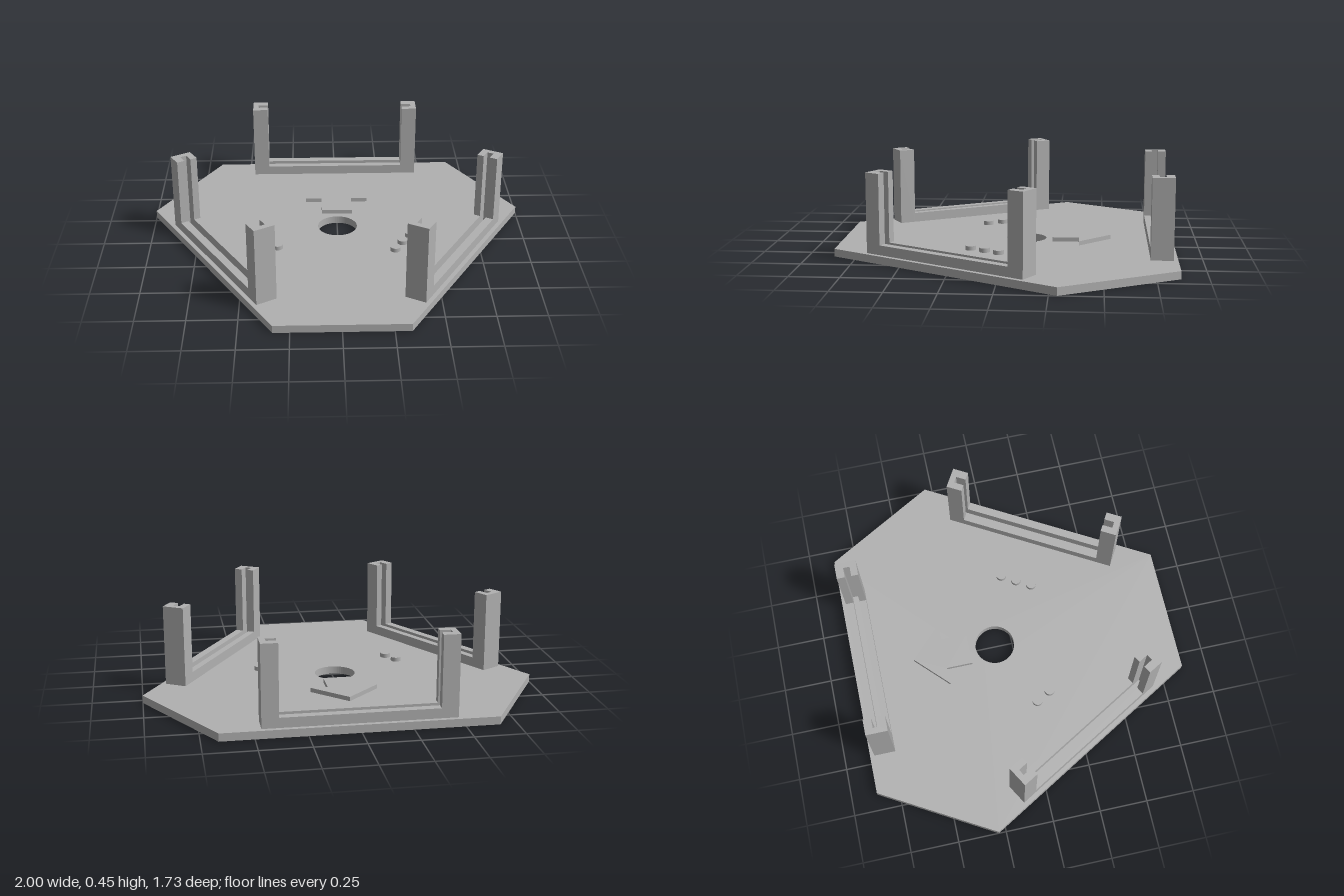
import * as THREE from 'three';

const grey = new THREE.MeshStandardMaterial({ color: 0xb0b0b0 });
grey.name = 'grey';

const BASE_TOP = 0.04;
const CENTRE_Z = -0.096;

// Shape from plan points [x, z]; extruded upwards from y0 to y1
function planShape(points) {
  return new THREE.Shape(points.map(([x, z]) => new THREE.Vector2(x, -z)));
}

function slab(name, shape, y0, y1) {
  const geometry = new THREE.ExtrudeGeometry(shape, { depth: y1 - y0, bevelEnabled: false, curveSegments: 32 });
  geometry.rotateX(-Math.PI / 2);
  geometry.translate(0, y0, 0);
  const mesh = new THREE.Mesh(geometry, grey);
  mesh.name = name;
  return mesh;
}

// Slotted U-shaped holder, in coordinates relative to the plate centre
function createHolder(name) {
  const holder = new THREE.Group();
  holder.name = name;
  const outer = 0.468, slotEnd = 0.438, inner = 0.385;
  const back = -0.746, slotBack = -0.704, slotFront = -0.67, front = -0.634;

  // End posts with a C-shaped section, open towards each other
  for (const s of [-1, 1]) {
    const section = [
      [outer, back], [outer, front], [inner, front], [inner, slotFront],
      [slotEnd, slotFront], [slotEnd, slotBack], [inner, slotBack], [inner, back],
    ].map(([x, z]) => [s * x, z]);
    holder.add(slab(s < 0 ? 'rightPost' : 'leftPost', planShape(section), BASE_TOP, 0.45));
  }

  // Low rails on both sides of the slot
  for (const [railName, z0, z1] of [['outerRail', back, slotBack], ['innerRail', slotFront, front]]) {
    const rail = new THREE.Mesh(new THREE.BoxGeometry(2 * inner, 0.05, z1 - z0), grey);
    rail.name = railName;
    rail.position.set(0, BASE_TOP + 0.025, (z0 + z1) / 2);
    holder.add(rail);
  }
  return holder;
}

export function createModel() {
  const model = new THREE.Group();
  model.name = 'slottedStand';

  // Six-sided base plate with a round hole
  const plate = planShape([
    [-0.667, -0.865], [-1, -0.289], [-0.333, 0.865],
    [0.333, 0.865], [1, -0.289], [0.667, -0.865],
  ]);
  const hole = new THREE.Path();
  hole.absarc(0, -CENTRE_Z, 0.105, 0, Math.PI * 2, true);
  plate.holes.push(hole);
  model.add(slab('basePlate', plate, 0, BASE_TOP));

  // Three holders around the hole
  ['backHolder', 'rightHolder', 'leftHolder'].forEach((name, i) => {
    const holder = createHolder(name);
    holder.position.z = CENTRE_Z;
    holder.rotation.y = (i * Math.PI * 2) / 3;
    model.add(holder);
  });

  // Raised arrow pointing to the back
  model.add(slab('arrow', planShape([
    [0, -0.54], [-0.17, -0.375], [-0.083, -0.375], [-0.083, -0.235],
    [0.083, -0.235], [0.083, -0.375], [0.17, -0.375],
  ]), BASE_TOP, 0.062));

  // Raised dots that number the side holders
  const dots = [[-0.362, 0.06], [-0.319, 0.135], [0.384, 0.023], [0.34, 0.097], [0.297, 0.172]];
  dots.forEach(([x, z], i) => {
    const dot = new THREE.Mesh(new THREE.CylinderGeometry(0.027, 0.027, 0.022, 24), grey);
    dot.name = `dot${i + 1}`;
    dot.position.set(x, BASE_TOP + 0.011, z);
    model.add(dot);
  });

  return model;
}
